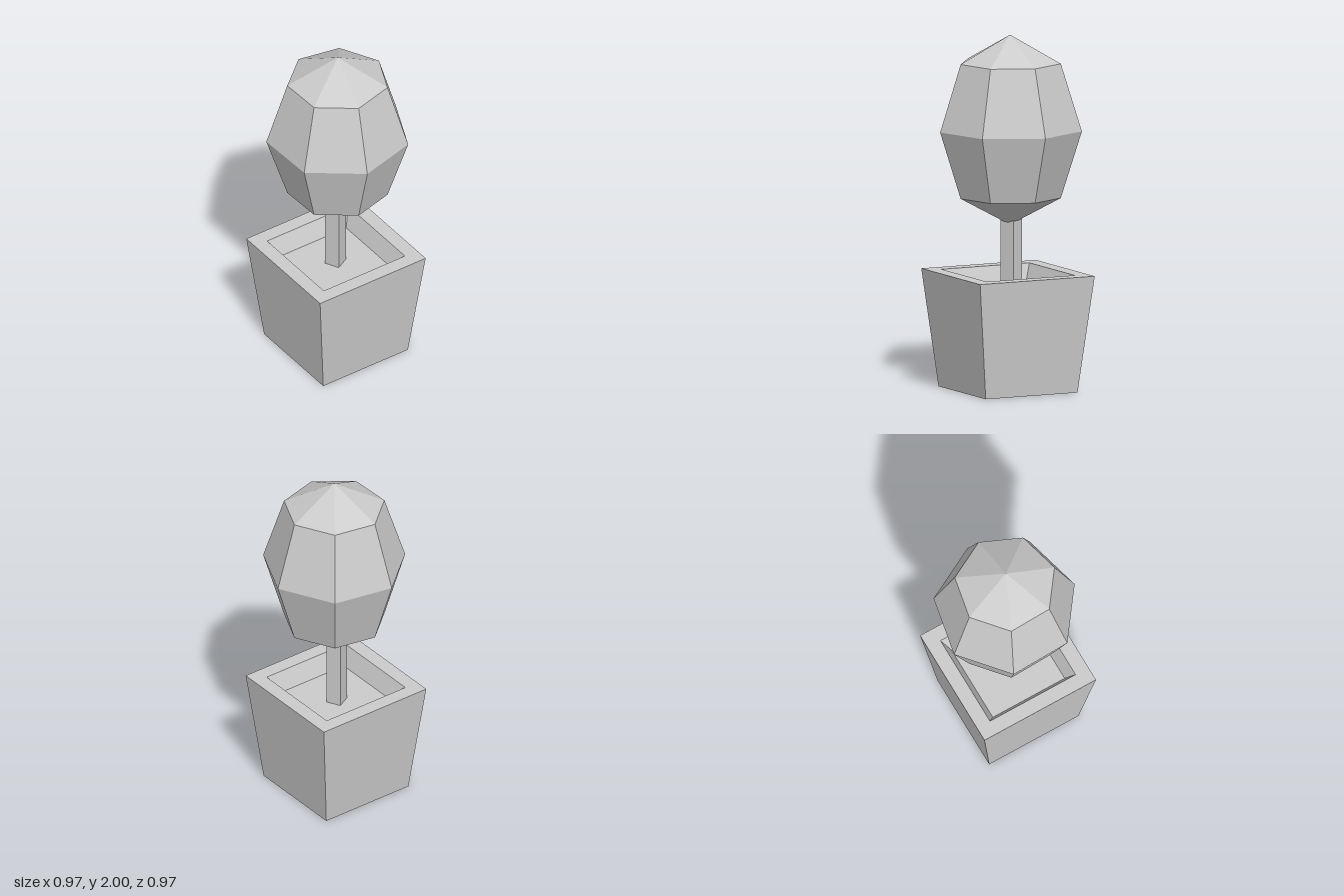
import * as THREE from 'three';

export function createModel() {
  const model = new THREE.Group();
  model.name = 'pottedTree';
  const material = new THREE.MeshStandardMaterial({ color: 0xcccccc, flatShading: true });

  const addPart = (name, geometry, x, y, z, turn) => {
    const mesh = new THREE.Mesh(geometry, material);
    mesh.name = name;
    mesh.position.set(x, y, z);
    mesh.rotation.y = turn;
    model.add(mesh);
    return mesh;
  };

  // Square tapered planter with a rim and a sunken soil floor
  const potProfile = [
    [0, 0], [0.407, 0], [0.508, 0.66], [0.39, 0.66], [0.327, 0.555], [0, 0.555],
  ].map(([r, y]) => new THREE.Vector2(r, y));
  addPart('planter', new THREE.LatheGeometry(potProfile, 4), 0, 0, 0, 0.289);

  // Square trunk from the soil up into the foliage
  const trunkBottom = 0.555, trunkTop = 1.0;
  addPart('trunk', new THREE.BoxGeometry(0.086, trunkTop - trunkBottom, 0.086),
    -0.011, (trunkBottom + trunkTop) / 2, -0.016, -0.015);

  // Seven-sided egg-shaped foliage with one corner towards the front
  const foliage = addPart('foliage', new THREE.SphereGeometry(1, 7, 4, Math.PI / 2),
    0.003, 1.465, -0.016, -0.015);
  foliage.scale.set(0.406, 0.535, 0.406);

  return model;
}
